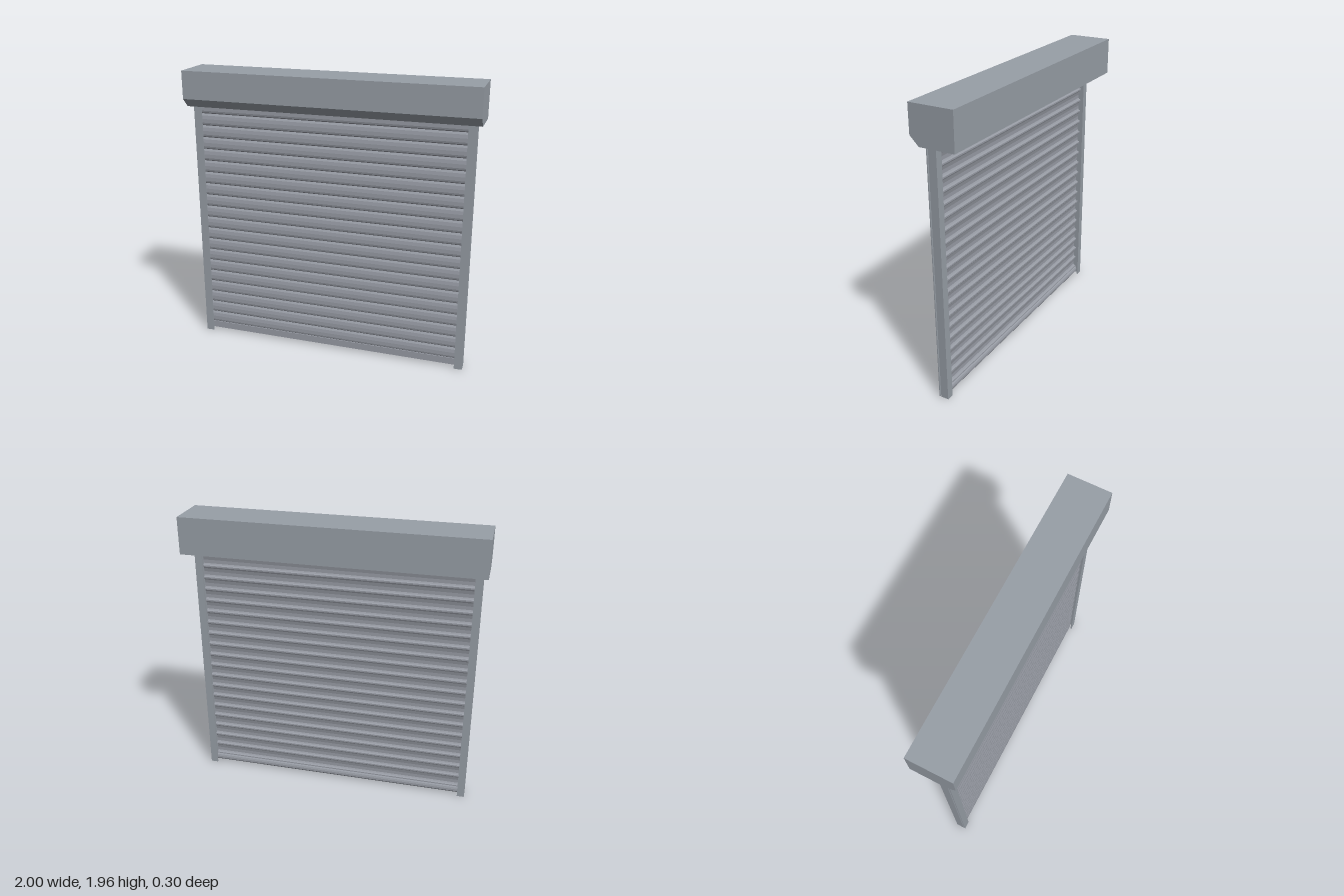
import * as THREE from 'three';

export function createModel() {
  const model = new THREE.Group();
  const frameGrey = new THREE.MeshStandardMaterial({ color: 0x989fa7 });
  frameGrey.name = 'frame grey';
  const slatGrey = new THREE.MeshStandardMaterial({ color: 0x999da6 });
  slatGrey.name = 'slat grey';

  // Extrudes a (z, y) profile along x, centred on x = 0
  function alongX(points, length) {
    const shape = new THREE.Shape(points.map(([z, y]) => new THREE.Vector2(z, y)));
    const geo = new THREE.ExtrudeGeometry(shape, { depth: length, bevelEnabled: false });
    return geo.rotateY(-Math.PI / 2).translate(length / 2, 0, 0);
  }

  function add(name, geo, material, parent = model) {
    const mesh = new THREE.Mesh(geo, material);
    mesh.name = name;
    parent.add(mesh);
    return mesh;
  }

  // Housing: folded sheet with a chamfered lower front edge, open underneath
  const housing = new THREE.Group();
  housing.name = 'housing';
  model.add(housing);
  const outer = [[-0.15, 1.71], [-0.15, 1.96], [0.15, 1.96], [0.15, 1.77], [0.09, 1.71]];
  const inner = [[0.07, 1.71], [0.07, 1.716], [0.087, 1.716], [0.144, 1.773],
    [0.144, 1.954], [-0.144, 1.954], [-0.144, 1.71]];
  add('housingCover', alongX([...outer, ...inner], 1.99), frameGrey, housing);
  for (const side of [-1, 1]) {
    const plate = add('housingEndPlate', alongX(outer, 0.006), frameGrey, housing);
    plate.position.x = side * 0.997;
  }

  // Rolled-up curtain inside the housing
  const roll = new THREE.CylinderGeometry(0.11, 0.11, 1.82, 32).rotateZ(Math.PI / 2);
  add('curtainRoll', roll, slatGrey).position.set(0, 1.833, -0.025);

  // Curtain of interlocking curved slats
  const curtain = new THREE.Group();
  curtain.name = 'curtain';
  model.add(curtain);
  const pitch = 0.0838;
  const slat = alongX([
    [0.024, -0.006], [0.038, -0.006], [0.047, 0.002], [0.05, 0.014], [0.05, 0.04],
    [0.046, 0.064], [0.038, 0.078], [0.03, 0.078], [0.036, 0.064], [0.041, 0.04],
    [0.041, 0.016], [0.036, 0.007], [0.024, 0.004],
  ], 1.84);
  for (let i = 0; i < 20; i++) {
    add('slat', slat, slatGrey, curtain).position.y = 0.07 + i * pitch;
  }

  // Bottom bar with rounded back
  add('bottomBar', alongX([
    [0.02, 0.02], [0.05, 0.02], [0.05, 0.068], [0.026, 0.068], [0.018, 0.058], [0.014, 0.045], [0.014, 0.03],
  ], 1.84), slatGrey, curtain);

  // Side guides: channel around the curtain ends, with a groove behind the front flange
  const channel = new THREE.Shape([
    [0.91, 0.068], [0.91, 0.06], [0.945, 0.06], [0.945, 0.008], [0.915, 0.008], [0.915, 0],
    [0.965, 0], [0.965, 0.054], [0.951, 0.054], [0.951, 0.062], [0.965, 0.062], [0.965, 0.068],
  ].map(([x, z]) => new THREE.Vector2(x, -z)));
  const guideGeo = new THREE.ExtrudeGeometry(channel, { depth: 1.715, bevelEnabled: false });
  guideGeo.rotateX(-Math.PI / 2);
  for (const side of [-1, 1]) {
    const guide = add(side > 0 ? 'leftGuide' : 'rightGuide', guideGeo, frameGrey);
    guide.scale.x = side;
  }
  return model;
}
